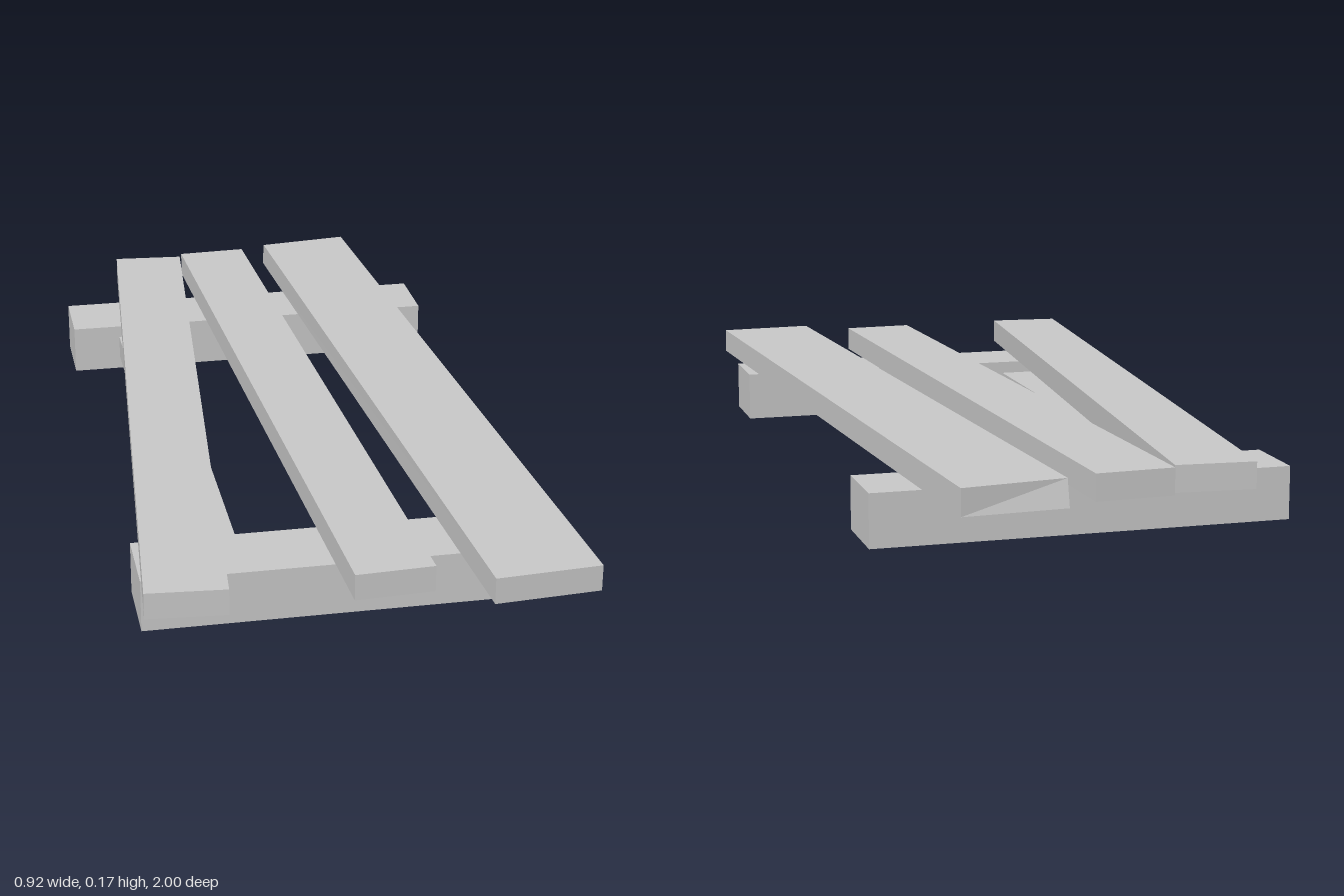
import * as THREE from 'three';

const material = new THREE.MeshStandardMaterial({ color: 0xcccccc, flatShading: true });

// Straight timber given by its x, y and z ranges
function beam(name, [x0, x1], [y0, y1], [z0, z1]) {
  const mesh = new THREE.Mesh(new THREE.BoxGeometry(x1 - x0, y1 - y0, z1 - z0), material);
  mesh.position.set((x0 + x1) / 2, (y0 + y1) / 2, (z0 + z1) / 2);
  mesh.name = name;
  return mesh;
}

// Skewed board: a box whose corners move to the given plan corners [x, z],
// in the order back-right, back-left, front-left, front-right
function plank(name, corners, backBevel = 0) {
  const geometry = new THREE.BoxGeometry(1, 1, 1);
  const p = geometry.attributes.position;
  for (let i = 0; i < p.count; i++) {
    const left = p.getX(i) > 0, top = p.getY(i) > 0, front = p.getZ(i) > 0;
    const corner = front ? (left ? 2 : 3) : (left ? 1 : 0);
    const [x, z] = corners[corner];
    // the bevel pulls in one upper back corner
    p.setXYZ(i, x, top ? 0.172 : 0.115, z + (top && corner === 0 ? backBevel : 0));
  }
  geometry.computeVertexNormals();
  const mesh = new THREE.Mesh(geometry, material);
  mesh.name = name;
  return mesh;
}

export function createModel() {
  const group = new THREE.Group();
  group.name = 'plankPlatform';

  // Cross beams on the ground and the brace joining them
  group.add(beam('frontCrossBeam', [-0.45, 0.457], [0, 0.115], [0.605, 0.775]));
  group.add(beam('backCrossBeam', [-0.45, 0.457], [0, 0.115], [-0.76, -0.593]));
  group.add(beam('brace', [-0.335, -0.22], [0.032, 0.086], [-0.6, 0.61]));

  // Three uneven deck boards
  group.add(plank('rightPlank', [[-0.3, -0.937], [-0.13, -0.924], [-0.294, 0.942], [-0.461, 0.929]]));
  group.add(plank('middlePlank', [[-0.123, -0.944], [0.045, -0.952], [0.127, 0.922], [-0.04, 0.93]]));
  group.add(plank('leftPlank', [[0.11, -0.988], [0.332, -1], [0.455, 0.98], [0.23, 0.995]], 0.015));
  return group;
}
